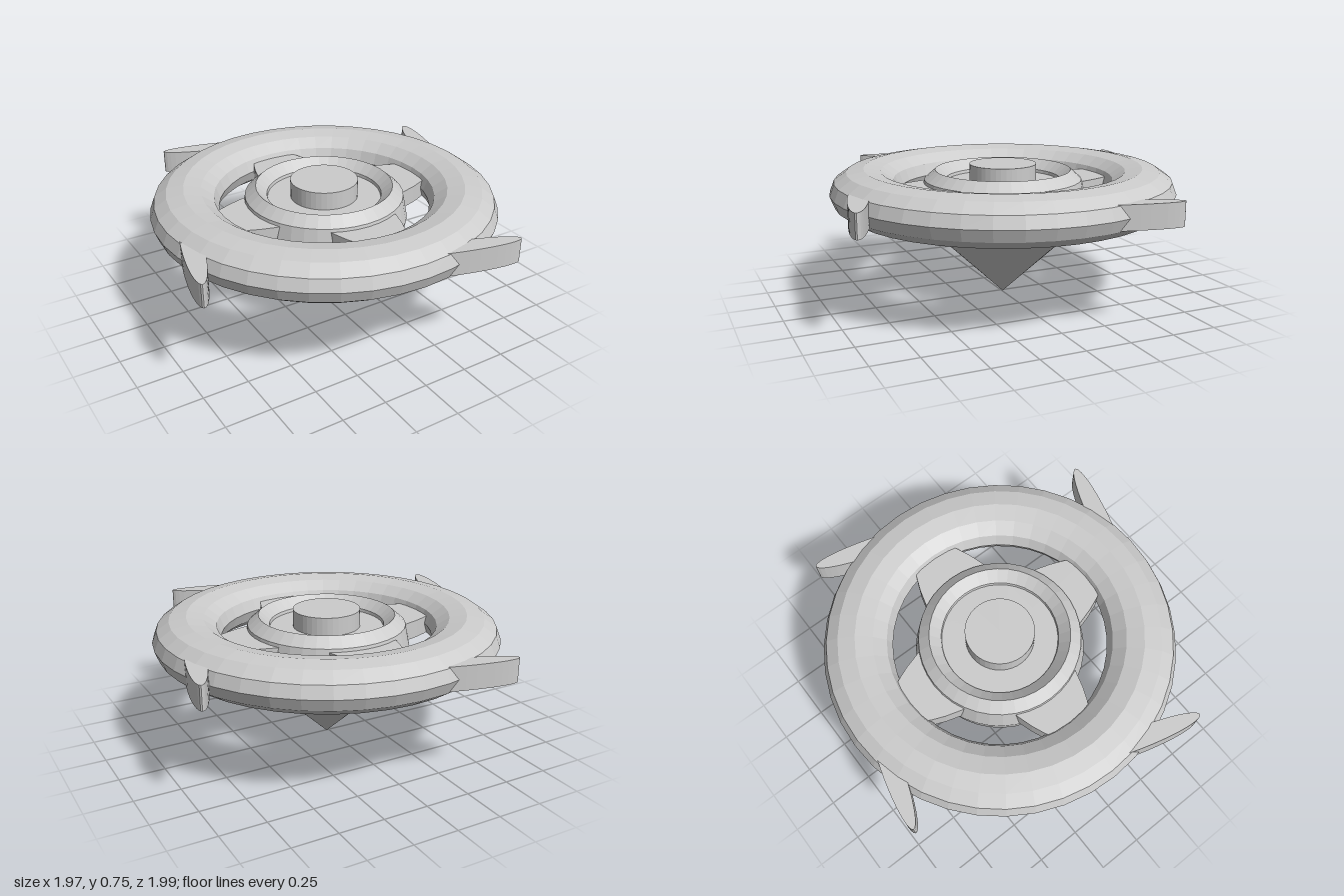
import * as THREE from 'three';

const material = new THREE.MeshStandardMaterial({ color: 0xcccccc, flatShading: true });

function addPart(parent, name, geometry) {
  const mesh = new THREE.Mesh(geometry, material);
  mesh.name = name;
  parent.add(mesh);
  return mesh;
}

// Ring with an elliptical section: radial half-width w, half-height h
function ringGeometry(radius, w, h, sides, y) {
  return new THREE.TorusGeometry(radius, w, sides, 40)
    .rotateX(-Math.PI / 2)
    .scale(1, h / w, 1)
    .translate(0, y, 0);
}

// Upright elliptical slab between two heights
function slabGeometry(a, b, bottom, top) {
  return new THREE.CylinderGeometry(1, 1, top - bottom, 40)
    .scale(a, 1, b)
    .translate(0, (top + bottom) / 2, 0);
}

export function createModel() {
  const model = new THREE.Group();
  model.name = 'spinningTop';

  // Body sits slightly off the centre of the overall bounds
  const body = new THREE.Group();
  body.name = 'body';
  body.position.set(0.015, 0, -0.005);
  model.add(body);

  addPart(body, 'outerRing', ringGeometry(0.772, 0.188, 0.13, 12, 0.61));
  addPart(body, 'innerRing', ringGeometry(0.379, 0.086, 0.18, 8, 0.54));

  // Pointed tip under the hub
  addPart(body, 'tip', new THREE.ConeGeometry(0.435, 0.41, 40)
    .rotateX(Math.PI).translate(0, 0.205, 0));

  // Central knob
  addPart(body, 'knob', new THREE.CylinderGeometry(0.187, 0.187, 0.2, 40)
    .translate(0, 0.65, 0));

  // Two crossed leaf-shaped spokes joining hub and outer ring
  for (let i = 0; i < 2; i++) {
    const spoke = addPart(body, 'spoke', slabGeometry(0.7, 0.245, 0.55, 0.65));
    spoke.rotation.y = i * Math.PI / 2;
  }

  // Four slanted blades on the rim: back, left, front, right
  const reach = [0.875, 0.855, 0.885, 0.89];
  reach.forEach((r, i) => {
    const arm = new THREE.Group();
    arm.name = 'bladeArm';
    arm.rotation.y = -i * Math.PI / 2;
    const blade = addPart(arm, 'blade', slabGeometry(0.35, 0.055, 0.55, 0.68));
    blade.position.set(-0.215, 0, -r);
    blade.rotation.y = -0.29;
    body.add(arm);
  });

  return model;
}
